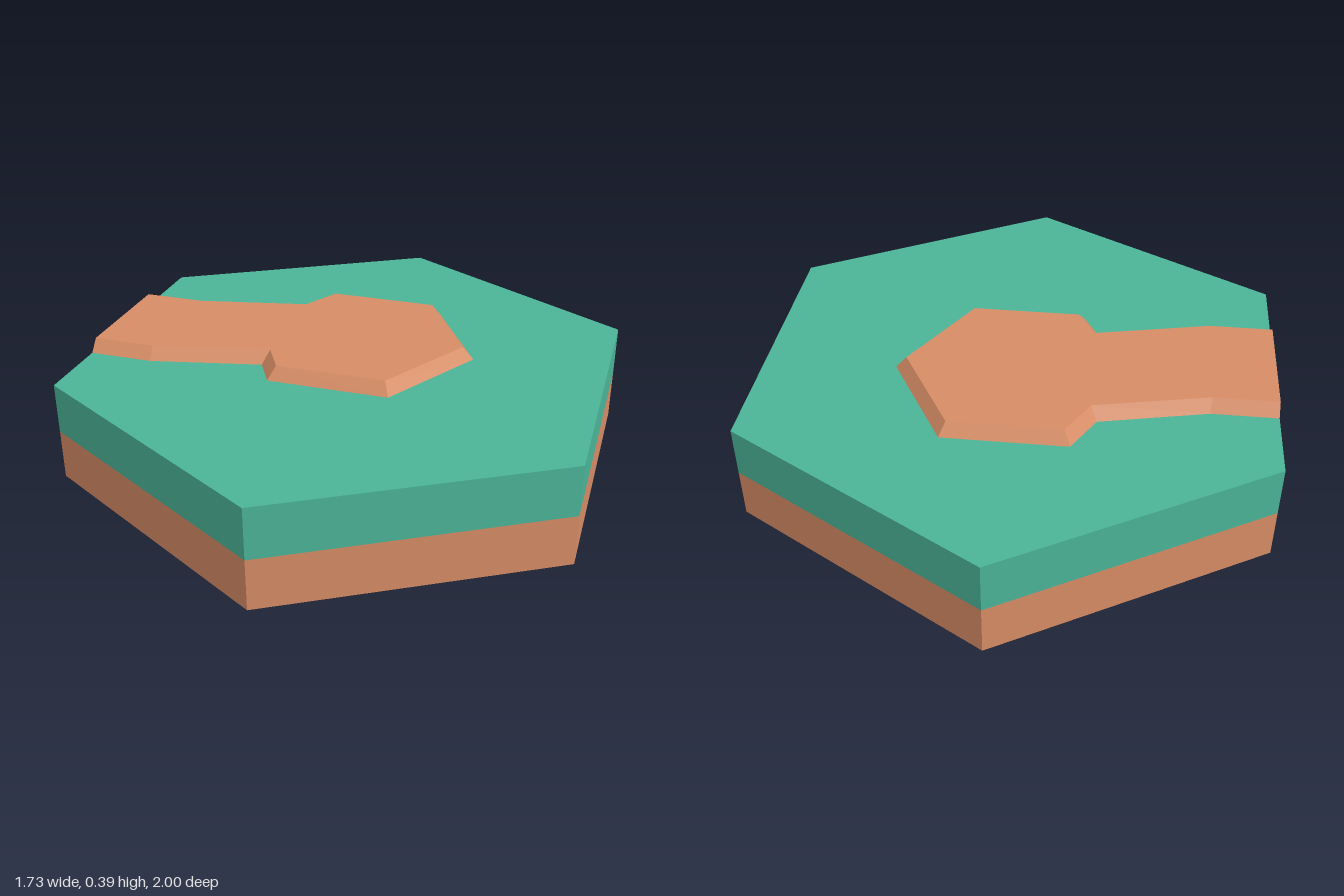
import * as THREE from 'three';

const grass = new THREE.MeshStandardMaterial({ name: 'grassGreen', color: 0x4bb498, flatShading: true });
const dirt = new THREE.MeshStandardMaterial({ name: 'dirtBrown', color: 0xd68c65, flatShading: true });

const HALF = 0.866, MID = 0.174, GROUND = 0.348, PATH_TOP = 0.39;

// Path outline as [x, z], at ground level and at the bevelled top
const lower = [[-HALF, -0.243], [-0.645, -0.243], [-0.283, -0.325], [-0.208, -0.458], [0.208, -0.458],
  [0.413, -0.1], [0.208, 0.26], [-0.208, 0.26], [-0.268, 0.153], [-0.645, 0.239], [-HALF, 0.239]];
const upper = [[-HALF, -0.21], [-0.648, -0.21], [-0.262, -0.295], [-0.188, -0.426], [0.188, -0.426],
  [0.375, -0.1], [0.188, 0.225], [-0.188, 0.225], [-0.25, 0.115], [-0.648, 0.204], [-HALF, 0.204]];

function add(parent, name, geometry, material) {
  const mesh = new THREE.Mesh(geometry, material);
  mesh.name = name;
  parent.add(mesh);
  return mesh;
}

// Open six-sided wall between two heights
function hexWall(y0, y1) {
  return new THREE.CylinderGeometry(1, 1, y1 - y0, 6, 1, true).translate(0, (y0 + y1) / 2, 0);
}

// Flat hexagon facing up or down
function hexFace(y, up) {
  return new THREE.CircleGeometry(1, 6, Math.PI / 2)
    .rotateX(up ? -Math.PI / 2 : Math.PI / 2).translate(0, y, 0);
}

// Sloping border joining the two path outlines
function pathBorder() {
  const pos = [];
  lower.forEach((_, i) => {
    const j = (i + 1) % lower.length;
    const a = [lower[i][0], GROUND, lower[i][1]], b = [lower[j][0], GROUND, lower[j][1]];
    const c = [upper[i][0], PATH_TOP, upper[i][1]], d = [upper[j][0], PATH_TOP, upper[j][1]];
    pos.push(...a, ...c, ...d, ...a, ...d, ...b);
  });
  const g = new THREE.BufferGeometry();
  g.setAttribute('position', new THREE.Float32BufferAttribute(pos, 3));
  g.computeVertexNormals();
  return g;
}

export function createModel() {
  const model = new THREE.Group();
  model.name = 'hexPathTile';

  // Hexagonal base: dirt below, grass above
  add(model, 'dirtWall', hexWall(0, MID), dirt);
  add(model, 'dirtUnderside', hexFace(0, false), dirt);
  add(model, 'grassWall', hexWall(MID, GROUND), grass);
  add(model, 'grassTop', hexFace(GROUND, true), grass);

  // Raised path ending in a hexagonal clearing
  const path = new THREE.Group();
  path.name = 'path';
  const shape = new THREE.Shape(upper.map(([x, z]) => new THREE.Vector2(x, -z)));
  add(path, 'pathTop', new THREE.ShapeGeometry(shape).rotateX(-Math.PI / 2).translate(0, PATH_TOP, 0), dirt);
  add(path, 'pathBorder', pathBorder(), dirt);
  model.add(path);

  return model;
}
